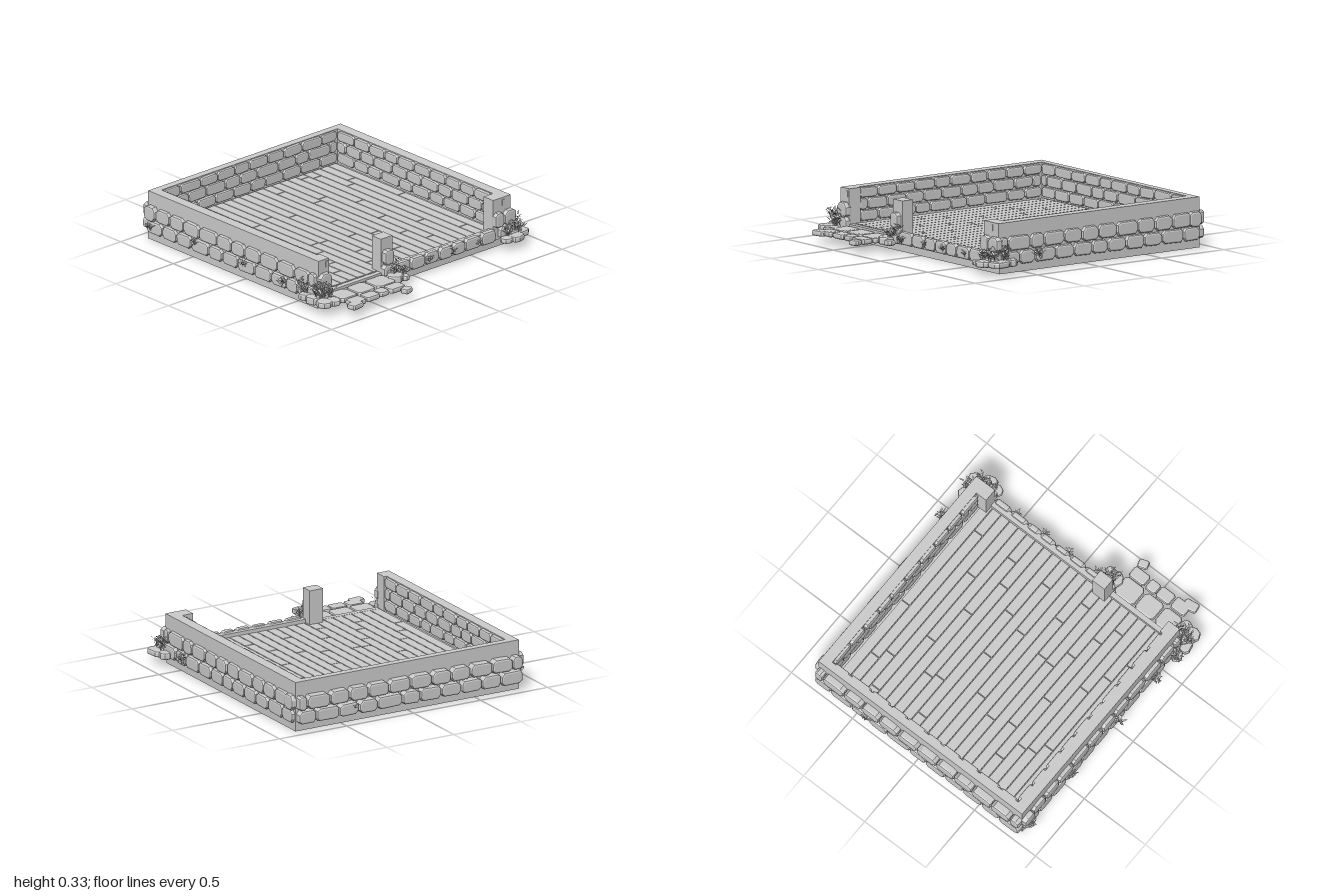
import * as THREE from 'three';
import { mergeGeometries } from 'three/addons/utils/BufferGeometryUtils.js';

const stoneGrey = new THREE.MeshStandardMaterial({ color: 0xcccccc });
stoneGrey.name = 'stone grey';
stoneGrey.side = THREE.DoubleSide;

let seed = 11;
const rand = () => (seed = (seed * 16807) % 2147483647) / 2147483647;
const jitter = (a) => (rand() - 0.5) * 2 * a;

function addMesh(parent, name, geometry) {
  const mesh = new THREE.Mesh(geometry, stoneGrey);
  mesh.name = name;
  parent.add(mesh);
  return mesh;
}

function box(parent, name, x0, x1, y0, y1, z0, z1) {
  const mesh = addMesh(parent, name, new THREE.BoxGeometry(x1 - x0, y1 - y0, z1 - z0));
  mesh.position.set((x0 + x1) / 2, (y0 + y1) / 2, (z0 + z1) / 2);
  return mesh;
}

// Bevelled stone with irregular cut corners, lying in the xy plane and bulging to +z
function stoneGeometry(w, h, d, cut = 0.3) {
  const bevel = Math.min(0.012, d * 0.45);
  const a = w / 2 - bevel, b = h / 2 - bevel;
  const points = [];
  for (const [sx, sy] of [[1, 1], [-1, 1], [-1, -1], [1, -1]]) {
    const cx = Math.min(a, b) * (cut + rand() * cut), cy = Math.min(a, b) * (cut + rand() * cut);
    const onSide = new THREE.Vector2(sx * a, sy * (b - cy));
    const onEnd = new THREE.Vector2(sx * (a - cx), sy * b);
    points.push(...(sx * sy > 0 ? [onSide, onEnd] : [onEnd, onSide]));
  }
  return new THREE.ExtrudeGeometry(new THREE.Shape(points), {
    depth: d - bevel, bevelThickness: bevel, bevelSize: bevel, bevelSegments: 2,
  });
}

// Courses of stones along local x, facing local +z
function courses(parent, name, x, z, turn, length, rows, depth) {
  const group = new THREE.Group();
  group.name = name;
  group.position.set(x, 0, z);
  group.rotation.y = turn;
  parent.add(group);
  rows.forEach(([y0, y1, count], r) => {
    const step = length / count;
    const shift = r % 2 ? 0.5 : 0;
    const joints = [-length / 2];
    for (let i = 1; i < count + (r % 2); i++) {
      joints.push(-length / 2 + (i - shift) * step + jitter(step * 0.14));
    }
    joints.push(length / 2);
    for (let i = 0; i < joints.length - 1; i++) {
      const w = joints[i + 1] - joints[i] - 0.006;
      const mesh = addMesh(group, 'wallStone', stoneGeometry(w, y1 - y0 - 0.004 - rand() * 0.006, depth - rand() * 0.006));
      mesh.position.set((joints[i] + joints[i + 1]) / 2, (y0 + y1) / 2, 0);
      mesh.rotation.z = jitter(0.03);
    }
  });
}

// Flat ground slab
function slab(parent, name, x, z, w, d, turn = 0, y = 0.065, h = 0.025, cut = 0.15) {
  const geometry = stoneGeometry(w, d, h, cut).rotateX(-Math.PI / 2).rotateY(turn);
  addMesh(parent, name, geometry).position.set(x, y, z);
}

// Tuft of bent stems carrying pairs of pointed leaves
function tuft(parent, x, y, z, height, spread, count) {
  const parts = [];
  const leaf = (w, h, lean) => {
    const g = new THREE.PlaneGeometry(w, h, 2, 3).translate(0, h / 2, 0);
    const p = g.attributes.position;
    for (let i = 0; i < p.count; i++) {
      const t = p.getY(i) / h;
      p.setXYZ(i, p.getX(i) * (Math.sin(Math.PI * (0.2 + 0.8 * t)) + 0.02), p.getY(i), lean * t * t);
    }
    g.computeVertexNormals();
    return g;
  };
  for (let i = 0; i < count; i++) {
    const h = height * (0.55 + 0.45 * rand()), yaw = rand() * Math.PI * 2;
    const lean = spread * (0.4 + 0.6 * rand());
    const clump = [leaf(0.007, h, lean)];
    for (let k = 0; k < 5; k++) {
      const t = 0.35 + k * 0.14;
      clump.push(leaf(0.011, 0.035, 0.012).rotateX(0.7).rotateY(k * 2.4).translate(0, t * h, lean * t * t));
    }
    clump.forEach((g) => parts.push(g.rotateY(yaw).translate(jitter(spread * 0.4), 0, jitter(spread * 0.4))));
  }
  addMesh(parent, 'plantTuft', mergeGeometries(parts)).position.set(x, y, z);
}

export function createModel() {
  const model = new THREE.Group();
  model.name = 'stoneFoundation';
  const H = Math.PI / 2;

  // Base, walls, low front wall and posts
  box(model, 'baseSlab', -0.83, 0.837, 0, 0.09, -0.925, 0.68);
  box(model, 'backWall', -0.83, 0.837, 0.05, 0.33, -0.925, -0.875);
  box(model, 'leftWall', 0.765, 0.837, 0.05, 0.33, -0.875, 0.68);
  box(model, 'rightWall', -0.83, -0.76, 0.05, 0.33, -0.875, 0.68);
  box(model, 'frontSill', -0.19, 0.7, 0.05, 0.125, 0.65, 0.695);
  box(model, 'doorPost', -0.285, -0.185, 0.05, 0.33, 0.6, 0.685);
  box(model, 'leftFrontPost', 0.685, 0.837, 0.05, 0.33, 0.6, 0.69);
  box(model, 'rightFrontPost', -0.83, -0.74, 0.05, 0.33, 0.6, 0.69);

  // Floor planks with staggered joints
  const joints = [
    [-0.81, 0.35], [-0.4, 0.2], [-0.48, 0.05], [-0.5, 0.49], [-0.64, -0.15, 0.36], [-0.42, 0.18], [0.05],
    [-0.47, 0.06, 0.5], [0.32], [-0.39], [0.1], [-0.15, 0.45], [-0.73, 0.16], [-0.46], [-0.49, 0.28],
    [0, 0.45], [-0.81, -0.29], [-0.77, 0.21], [-0.53], [-0.6, 0.46], [-0.2],
  ];
  const planks = new THREE.Group();
  planks.name = 'floorPlanks';
  model.add(planks);
  const pitch = 1.475 / joints.length;
  joints.forEach((cuts, i) => {
    const x = -0.735 + i * pitch;
    const ends = [-0.865, ...cuts, 0.65];
    for (let k = 0; k < ends.length - 1; k++) {
      box(planks, 'plank', x + 0.003, x + pitch - 0.003, 0.088, 0.102, ends[k] + 0.003, ends[k + 1] - 0.003);
    }
  });
  box(model, 'doorSill', -0.74, -0.285, 0.08, 0.1, 0.655, 0.69);

  // Outer stone courses
  const outer = (n) => [[0.05, 0.143, n], [0.143, 0.24, n]];
  courses(model, 'backOuterStones', 0, -0.925, Math.PI, 1.67, outer(11), 0.052);
  courses(model, 'leftOuterStones', 0.835, -0.12, H, 1.6, outer(11), 0.03);
  courses(model, 'rightOuterStones', -0.828, -0.12, -H, 1.6, outer(11), 0.03);
  courses(model, 'frontOuterStones', 0.25, 0.69, 0, 0.88, [[0.05, 0.14, 7]], 0.03);

  // Inner stone courses
  const inner = (n) => [[0.105, 0.178, n], [0.178, 0.255, n], [0.255, 0.327, n]];
  courses(model, 'backInnerStones', 0, -0.876, 0, 1.5, inner(10), 0.022);
  courses(model, 'leftInnerStones', 0.766, -0.13, -H, 1.46, inner(10), 0.025);
  courses(model, 'rightInnerStones', -0.761, -0.13, H, 1.46, inner(10), 0.025);

  // Larger stones on the front corners and door post
  for (const [x, y, w, h] of [
    [0.72, 0.19, 0.075, 0.1], [0.812, 0.19, 0.1, 0.1], [0.79, 0.1, 0.13, 0.09],
    [-0.785, 0.19, 0.1, 0.1], [-0.79, 0.1, 0.11, 0.09],
    [-0.235, 0.2, 0.075, 0.1], [-0.235, 0.11, 0.1, 0.08],
  ]) addMesh(model, 'cornerStone', stoneGeometry(w, h, 0.035)).position.set(x, y, 0.685);
  for (const s of [-1, 1]) {
    addMesh(model, 'backCornerStone', stoneGeometry(0.1, 0.1, 0.035).rotateY(s * H)).position.set(s * 0.832, 0.19, -0.88);
    const chip = s > 0 ? 0.77 : -0.76;
    box(model, 'postChip', chip - 0.01, chip + 0.01, 0.275, 0.315, 0.685, 0.695);
  }

  // Paving before the doorway
  for (const [x0, x1, z0, z1] of [
    [-0.75, -0.61, 0.69, 0.83], [-0.6, -0.45, 0.69, 0.83], [-0.44, -0.28, 0.69, 0.835],
    [-0.74, -0.625, 0.84, 0.93], [-0.615, -0.505, 0.84, 0.925], [-0.5, -0.42, 0.84, 0.92], [-0.41, -0.285, 0.84, 0.925],
  ]) slab(model, 'pavingSlab', (x0 + x1) / 2, (z0 + z1) / 2, x1 - x0, z1 - z0);
  slab(model, 'looseSlab', -0.73, 0.93, 0.1, 0.07, 0.15);
  slab(model, 'looseSlab', -0.315, 0.962, 0.07, 0.06, 0.3);

  // Rocks around the corners
  for (const [x, z, w, d, turn, h] of [
    [-0.86, 0.78, 0.1, 0.1, 0.4, 0.03], [-0.79, 0.79, 0.08, 0.1, -0.3, 0.025], [-0.88, 0.69, 0.07, 0.09, 0.2, 0.04],
    [-0.87, 0.61, 0.07, 0.08, 0.5, 0.035], [-0.24, 0.77, 0.1, 0.1, 0.5, 0.04], [-0.18, 0.79, 0.06, 0.07, 0.2, 0.025],
    [-0.22, 0.72, 0.08, 0.06, 0, 0.05], [0.88, 0.71, 0.1, 0.14, 0.1, 0.03], [0.88, 0.62, 0.08, 0.08, 0.6, 0.035],
    [0.8, 0.78, 0.1, 0.09, 0.3, 0.03], [0.73, 0.77, 0.08, 0.07, -0.4, 0.025], [0.82, 0.73, 0.1, 0.06, 0, 0.045],
  ]) slab(model, 'groundRock', x, z, w, d, turn, 0.065, h, 0.35);

  // Plants at the corners and along the walls
  for (const [x, y, z, h, s, n] of [
    [-0.85, 0.08, 0.72, 0.14, 0.07, 14], [-0.8, 0.08, 0.74, 0.1, 0.06, 8], [-0.87, 0.08, 0.6, 0.12, 0.05, 8],
    [0.84, 0.08, 0.74, 0.11, 0.07, 12], [0.88, 0.08, 0.66, 0.12, 0.05, 9], [0.77, 0.08, 0.75, 0.08, 0.05, 7],
    [-0.22, 0.08, 0.75, 0.1, 0.06, 10], [-0.13, 0.06, 0.74, 0.06, 0.03, 4],
    [0.1, 0.08, 0.725, 0.03, 0.02, 2], [0.3, 0.07, 0.725, 0.04, 0.02, 2], [0.52, 0.07, 0.725, 0.04, 0.02, 2],
    [-0.875, 0.08, 0.4, 0.07, 0.04, 5], [-0.87, 0.1, 0.02, 0.05, 0.03, 3], [-0.87, 0.1, -0.45, 0.05, 0.02, 3],
    [-0.87, 0.08, -0.87, 0.06, 0.03, 3], [0.89, 0.08, 0.4, 0.07, 0.04, 5], [0.42, 0.08, -0.97, 0.05, 0.01, 2],
  ]) tuft(model, x, y, z, h, s, n);

  return model;
}
